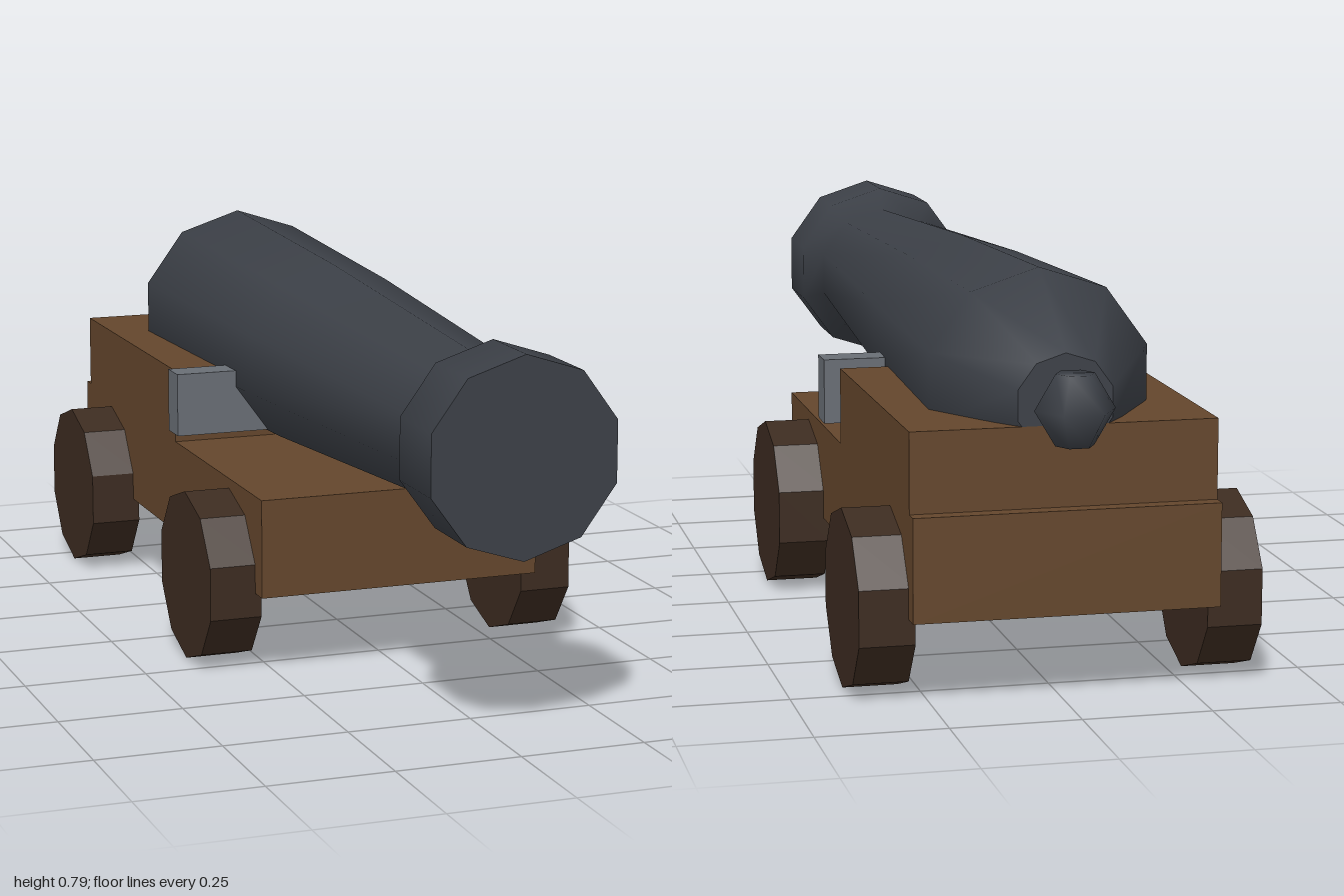
import * as THREE from 'three';

const mat = (name, color) => {
  const m = new THREE.MeshStandardMaterial({ color });
  m.name = name;
  return m;
};

export function createModel() {
  const iron = mat('dark iron', 0x3c4047);
  const wood = mat('brown wood', 0x64462c);
  const darkWood = mat('dark wood', 0x3c2b20);
  const steel = mat('grey steel', 0x696e75);
  const wheelWood = darkWood;
  wheelWood.flatShading = true;

  const model = new THREE.Group();
  model.name = 'cannon';
  const add = (parent, name, geometry, material, x = 0, y = 0, z = 0) => {
    const mesh = new THREE.Mesh(geometry, material);
    mesh.name = name;
    mesh.position.set(x, y, z);
    parent.add(mesh);
    return mesh;
  };
  // box given by its limits along each axis
  const box = (name, material, w, y0, y1, z0, z1) =>
    add(model, name, new THREE.BoxGeometry(w, y1 - y0, z1 - z0), material, 0, (y0 + y1) / 2, (z0 + z1) / 2);

  // carriage
  box('carriageBase', wood, 0.59, 0.17, 0.37, -0.897, 0.377);
  box('carriageBlock', wood, 0.59, 0.37, 0.525, -0.866, -0.197);

  // trunnion through the barrel
  box('trunnion', steel, 0.642, 0.405, 0.537, -0.16, -0.095);

  // four ten-sided wheels, one corner pointing up
  const wheel = new THREE.CylinderGeometry(0.175, 0.175, 0.107, 10, 1, false, Math.PI / 2);
  wheel.rotateZ(Math.PI / 2);
  for (const [end, z] of [['front', 0.168], ['rear', -0.692]])
    for (const [side, s] of [['Left', 1], ['Right', -1]])
      add(model, `${end}${side}Wheel`, wheel, wheelWood, s * 0.3355, 0.175, z);

  // barrel: smooth ten-sided turned body with flat ends
  const barrel = new THREE.Group();
  barrel.name = 'barrel';
  barrel.position.y = 0.565;
  model.add(barrel);
  const profile = [
    [0.095, -0.866], [0.225, -0.662], [0.199, -0.02], [0.147, 0.815], [0.193, 0.843], [0.193, 1],
  ].map(([r, z]) => new THREE.Vector2(r, z));
  const body = new THREE.LatheGeometry(profile, 10);
  body.rotateX(Math.PI / 2);
  add(barrel, 'barrelBody', body, iron);
  add(barrel, 'muzzleFace', new THREE.CircleGeometry(0.193, 10, Math.PI / 2), iron, 0, 0, 1);
  add(barrel, 'breechFace', new THREE.CircleGeometry(0.095, 10, Math.PI / 2), iron, 0, 0, -0.866)
    .rotation.y = Math.PI;

  // six-sided knob behind the breech
  const knob = [[0, -0.067], [0.037, -0.067], [0.077, 0], [0.037, 0.067], [0, 0.067]]
    .map(([r, y]) => new THREE.Vector2(r, y));
  add(model, 'breechKnob', new THREE.LatheGeometry(knob, 6, Math.PI / 2), iron, 0, 0.567, -0.933);

  return model;
}
